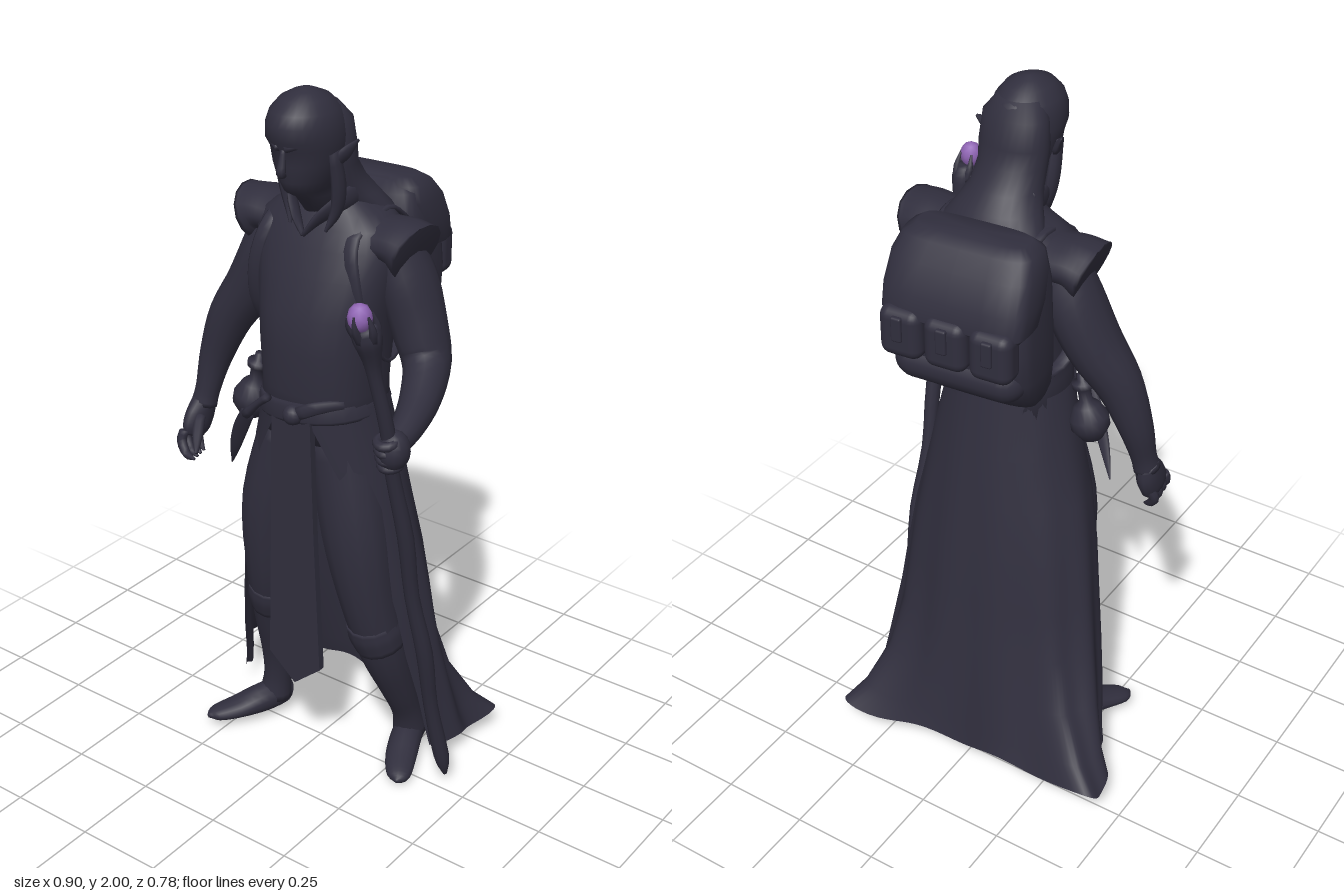
import * as THREE from 'three';
import { RoundedBoxGeometry } from 'three/addons/geometries/RoundedBoxGeometry.js';

const V = (x, y, z) => new THREE.Vector3(x, y, z);

// Surface through a list of point rings
function skin(rings, closed = true) {
  const n = rings[0].length, pos = [], idx = [];
  rings.forEach(r => r.forEach(p => pos.push(p.x, p.y, p.z)));
  for (let i = 0; i < rings.length - 1; i++) {
    for (let j = 0; j < (closed ? n : n - 1); j++) {
      const k = (j + 1) % n, a = i * n + j, b = i * n + k;
      idx.push(a, b, b + n, a, b + n, a + n);
    }
  }
  if (closed) [0, rings.length - 1].forEach((r, end) => {
    const c = rings[r].reduce((s, p) => s.add(p), V(0, 0, 0)).divideScalar(n);
    const m = pos.length / 3;
    pos.push(c.x, c.y, c.z);
    for (let j = 0; j < n; j++) {
      const a = r * n + j, b = r * n + (j + 1) % n;
      if (end) idx.push(m, a, b); else idx.push(m, b, a);
    }
  });
  const g = new THREE.BufferGeometry();
  g.setAttribute('position', new THREE.Float32BufferAttribute(pos, 3));
  g.setIndex(idx);
  g.computeVertexNormals();
  return g;
}

// Upward loft; rows are [y, x0, x1, z0, z1], e < 1 makes it boxier
function loft(rows, e = 1, n = 28) {
  const pw = v => Math.sign(v) * Math.abs(v) ** e;
  return skin(rows.map(([y, x0, x1, z0, z1]) => Array.from({ length: n }, (_, j) => {
    const a = j / n * Math.PI * 2;
    return V((x0 + x1) / 2 + (x1 - x0) / 2 * pw(Math.sin(a)), y, (z0 + z1) / 2 + (z1 - z0) / 2 * pw(Math.cos(a)));
  })));
}

// Tapered tube; points are [x, y, z, radius, second radius]
function limb(pts, ref = V(1, 0, 0), steps = 4, n = 14) {
  const path = new THREE.CatmullRomCurve3(pts.map(p => V(p[0], p[1], p[2])), false, 'catmullrom');
  const rad = new THREE.CatmullRomCurve3(pts.map(p => V(p[3], p[4] ?? p[3], 0)), false, 'catmullrom');
  const m = (pts.length - 1) * steps, rings = [];
  for (let i = 0; i <= m; i++) {
    const c = path.getPoint(i / m), t = path.getTangent(i / m), r = rad.getPoint(i / m);
    const u = ref.clone().addScaledVector(t, -ref.dot(t)).normalize(), v = t.clone().cross(u);
    rings.push(Array.from({ length: n }, (_, j) => {
      const a = j / n * Math.PI * 2;
      return c.clone().addScaledVector(u, r.x * Math.cos(a)).addScaledVector(v, r.y * Math.sin(a));
    }));
  }
  return skin(rings);
}

export function createModel() {
  const group = new THREE.Group();
  const cloth = new THREE.MeshStandardMaterial({ color: 0x302e3d, side: THREE.DoubleSide });
  cloth.name = 'dark cloth';
  const violet = new THREE.MeshStandardMaterial({ color: 0x9065b5 });
  violet.name = 'violet crystal';
  const add = (name, geo, mat = cloth, parent = group) => {
    const m = new THREE.Mesh(geo, mat);
    m.name = name;
    parent.add(m);
    return m;
  };
  const X = V(1, 0, 0), Y = V(0, 1, 0), Z = V(0, 0, 1);

  // Head, hair and face
  add('head', loft([[1.68, 0, .07, -.02, .1], [1.725, -.01, .08, -.02, .135], [1.745, -.025, .085, -.02, .168], [1.775, -.04, .1, -.02, .182], [1.82, -.055, .115, -.02, .19],
    [1.86, -.062, .122, -.02, .195], [1.885, -.065, .125, -.02, .213], [1.92, -.062, .122, -.015, .214], [1.95, -.052, .112, .005, .202],
    [1.978, -.028, .09, .035, .175], [1.993, 0, .062, .07, .14], [2, .02, .04, .09, .115]]));
  add('hair', loft([[1.54, -.1, .15, -.15, -.06], [1.62, -.13, .185, -.162, -.02], [1.67, -.115, .17, -.148, .015], [1.71, -.086, .144, -.12, .05], [1.75, -.066, .126, -.086, .085],
    [1.8, -.063, .124, -.046, .1], [1.85, -.067, .127, -.033, .1], [1.92, -.06, .12, -.02, .1], [1.96, -.03, .09, .015, .1]]));
  add('nose', limb([[.03, 1.865, .192, .006], [.03, 1.83, .198, .01], [.03, 1.805, .202, .012], [.03, 1.795, .188, .006]], X, 3, 8));
  for (const s of [-1, 1]) {
    add('brow', limb([[.03 + s * .01, 1.868, .198, .01], [.03 + s * .045, 1.882, .178, .012], [.03 + s * .075, 1.885, .135, .008]], Y, 3, 8));
    add('ear', limb([[.03 + s * .085, 1.82, .09, .01, .016], [.03 + s * .102, 1.845, .075, .01, .022], [.03 + s * .124, 1.877, .05, .002, .004]], X, 4, 8));
    add('hairLock', limb([[.03 + s * .085, 1.85, .1, .012, .02], [.03 + s * .085, 1.76, .08, .016, .024], [.03 + s * .075, 1.69, .075, .014, .02], [.03 + s * .055, 1.635, .095, .004]], X, 3, 8));
    add('collar', limb([[.03 + s * .09, 1.725, -.03, .01, .03], [.03 + s * .08, 1.71, .05, .01, .03], [.03 + s * .04, 1.67, .095, .01, .024], [.03, 1.62, .116, .006]], X, 4, 8));
  }

  // Tunic with flared armhole caps
  add('tunic', loft([[1.06, -.15, .205, -.13, .165], [1.2, -.125, .205, -.12, .18], [1.32, -.13, .215, -.125, .186], [1.42, -.14, .22, -.13, .178],
    [1.52, -.165, .235, -.14, .145], [1.59, -.185, .235, -.14, .115], [1.64, -.17, .22, -.135, .092], [1.672, -.12, .175, -.13, .072],
    [1.7, -.07, .13, -.12, .06], [1.73, -.045, .105, -.09, .05]], .85));
  for (const [name, s] of [['shoulderLeft', 1], ['shoulderRight', -1]]) {
    const x = d => .022 + s * d;
    add(name, limb([[x(.08), 1.605, -.03, .085, .06], [x(.17), 1.605, -.03, .09, .058], [x(.22), 1.605, -.028, .09, .063], [x(.258), 1.59, -.025, .09, .08]], Z));
  }

  // Sash with knot
  const sash = add('sash', loft([[-.028, -.173, .176, -.147, .167], [-.018, -.176, .179, -.15, .174], [.018, -.167, .172, -.145, .173], [.028, -.16, .165, -.14, .168]], .9));
  sash.position.set(.033, 1.15, .018);
  sash.rotation.z = .1;
  add('sashKnot', new THREE.SphereGeometry(.028, 14, 10)).position.set(.05, 1.15, .188);
  add('sashTail', limb([[.07, 1.16, .192, .018, .008], [.12, 1.185, .18, .018, .008], [.17, 1.19, .128, .014, .008]], Y, 3, 8));

  // Open robe skirt: [y, x0, x1, z0, z1, front gap angle, hem flare]
  const rows = [[.06, -.36, .365, -.3, .02, 1.12, 1], [.12, -.35, .36, -.29, .03, 1.11, .6], [.25, -.335, .35, -.275, .06, 1.1, .15],
    [.4, -.305, .335, -.25, .1, 1.08, 0], [.55, -.28, .32, -.23, .125, 1.06, 0], [.7, -.255, .302, -.21, .15, 1, 0],
    [.85, -.222, .275, -.185, .17, .88, 0], [1, -.175, .248, -.16, .185, .62, 0], [1.17, -.135, .21, -.13, .185, .2, 0]];
  add('robeSkirt', skin(rows.map(([y, x0, x1, z0, z1, gap, f], i) => Array.from({ length: 97 }, (_, j) => {
    const a = gap + j / 96 * (Math.PI * 2 - gap * 2);
    const fold = 1 + .035 * (1 - i / 8) * Math.cos(a * 11);
    const L = f * Math.exp(-(((a - Math.PI - 1.0) / .45) ** 2)), R = f * Math.exp(-(((a - Math.PI + .8) / .4) ** 2));
    return V((x0 + x1) / 2 + (x1 - x0) / 2 * Math.sin(a) * fold - .145 * L + .105 * R,
      y + f * .01 * Math.cos(a * 11) + .02 * L, (z0 + z1) / 2 + (z1 - z0) / 2 * Math.cos(a) * fold - .07 * L - .1 * R);
  })), false));

  // Front tabard
  const shape = new THREE.Shape([[-.025, 1.16], [-.032, .8], [-.042, .38], [.045, .305], [.132, .38], [.112, .8], [.1, 1.16]].map(p => new THREE.Vector2(...p)));
  add('tabard', new THREE.ExtrudeGeometry(shape, { depth: .02, bevelEnabled: false })).position.z = .163;

  // Legs, boots and feet
  add('legLeft', limb([[.11, 1.08, .05, .1], [.165, .8, .068, .098, .09], [.2, .58, .05, .08], [.225, .4, .01, .068], [.235, .25, -.05, .052], [.235, .14, -.1, .043], [.23, .05, -.13, .05]]));
  add('legRight', limb([[-.03, 1.08, .05, .1], [-.105, .8, .07, .095, .09], [-.125, .58, .055, .08], [-.148, .4, .025, .062], [-.165, .25, -.01, .05], [-.175, .14, -.02, .042], [-.185, .06, -.02, .048]]));
  add('bootCuffLeft', limb([[.208, .51, .04, .076], [.213, .47, .028, .08], [.222, .42, .015, .072]]));
  add('bootCuffRight', limb([[-.134, .51, .045, .074], [-.14, .47, .037, .076], [-.146, .42, .028, .067]]));
  add('footLeft', limb([[.205, .04, -.2, .02], [.215, .045, -.18, .042, .04], [.24, .045, -.1, .045], [.28, .032, -.01, .03, .045], [.315, .022, .05, .02, .033], [.325, .02, .075, .006]], Y));
  add('footRight', limb([[-.175, .055, -.07, .02], [-.18, .06, -.05, .04], [-.2, .06, .02, .044], [-.24, .048, .09, .028, .045], [-.28, .038, .145, .018, .033], [-.292, .036, .17, .006]], Y));

  // Arms and hands
  add('armLeft', limb([[.205, 1.61, -.03, .06], [.238, 1.5, -.05, .074, .085], [.273, 1.385, -.055, .074, .08], [.31, 1.29, -.04, .064, .07], [.36, 1.24, .06, .054], [.395, 1.21, .17, .042], [.405, 1.195, .24, .034]]));
  add('armRight', limb([[-.155, 1.61, -.03, .06], [-.19, 1.5, -.035, .074, .085], [-.246, 1.38, -.025, .072, .08], [-.312, 1.27, -.005, .063], [-.355, 1.15, .01, .048], [-.372, 1.05, .03, .036], [-.38, 1, .04, .037]]));
  const fist = add('handLeft', new THREE.SphereGeometry(.045, 14, 10));
  fist.position.set(.412, 1.185, .25);
  fist.scale.set(.9, 1.2, 1);
  for (let i = 0; i < 4; i++) {
    const f = add('fingerLeft', new THREE.TorusGeometry(.024, .013, 8, 16));
    f.position.set(.402, 1.145 + i * .023, .25 + i * .006);
    f.rotation.x = Math.PI / 2 + .2;
  }
  add('handRight', limb([[-.38, 1.02, .035, .033], [-.386, .975, .05, .032, .05], [-.388, .935, .07, .028, .05], [-.385, .912, .08, .014, .036]]));
  for (let i = 0; i < 4; i++) {
    const z = .032 + i * .028;
    add('fingerRight', limb([[-.392, .94, z, .014], [-.406 + i * .004, .91, z + .01, .014], [-.392 + i * .008, .88, z + .02, .012], [-.368 + i * .012, .862 + i * .006, z + .03, .004]], X, 3, 8));
  }
  add('thumbRight', limb([[-.368, .975, .075, .016], [-.345, .935, .115, .015], [-.325, .9, .145, .005]], X, 3, 8));

  // Staff with claws and crystal
  add('staff', limb([[.42, .03, -.03, .006], [.415, .1, -.015, .022], [.405, .3, .035, .02], [.412, .5, .085, .023], [.4, .7, .135, .02], [.406, .9, .18, .022],
    [.398, 1.1, .232, .019], [.402, 1.25, .268, .019], [.392, 1.4, .308, .018], [.39, 1.46, .322, .026], [.388, 1.51, .336, .037], [.386, 1.545, .348, .03]], X, 3, 10));
  for (let i = 0; i < 5; i++) {
    const a = i * Math.PI * .4 + .3, c = Math.cos(a), s = Math.sin(a);
    add('staffClaw', limb([[.387 + c * .025, 1.51, .337 + s * .025, .012], [.386 + c * .036, 1.545, .35 + s * .033, .01], [.385 + c * .03, 1.582, .36 + s * .028, .003]], X, 3, 6));
  }
  const gem = add('crystal', new THREE.IcosahedronGeometry(.031, 1), violet);
  gem.position.set(.383, 1.571, .36);
  gem.scale.y = 1.2;

  // Flask and dagger on the belt
  const flask = add('flask', new THREE.LatheGeometry([[0, -.06], [.03, -.055], [.054, -.02], [.054, .01], [.035, .045], [.018, .06], [.018, .09], [.03, .1], [.03, .115], [.014, .12], [.012, .14], [0, .14]]
    .map(p => new THREE.Vector2(...p)), 18));
  flask.position.set(-.195, 1.08, .05);
  flask.rotation.z = -.2;
  add('daggerHilt', limb([[-.03, 1.18, .19, .012], [-.07, 1.145, .188, .01], [-.115, 1.1, .178, .015]], X, 3, 8));
  add('daggerBlade', limb([[-.11, 1.105, .178, .02, .007], [-.16, 1.03, .15, .022, .007], [-.205, .95, .12, .016, .005], [-.245, .875, .085, .002]], X, 4, 8));

  // Backpack
  const pack = new THREE.Group();
  pack.name = 'backpack';
  pack.rotation.y = .09;
  pack.position.x = .018;
  group.add(pack);
  add('packBody', loft([[1.238, -.14, .14, -.2, -.13], [1.255, -.175, .175, -.235, -.115], [1.3, -.192, .192, -.285, -.1], [1.36, -.2, .2, -.315, -.1], [1.45, -.2, .2, -.325, -.1],
    [1.6, -.192, .192, -.31, -.1], [1.68, -.175, .175, -.27, -.11], [1.708, -.14, .14, -.24, -.14]], .5), cloth, pack);
  add('packFlap', loft([[1.51, -.19, .19, -.345, -.25], [1.52, -.2, .2, -.355, -.2], [1.58, -.203, .203, -.342, -.16], [1.65, -.197, .197, -.31, -.13],
    [1.695, -.18, .18, -.27, -.13], [1.715, -.15, .15, -.24, -.15]], .5), cloth, pack);
  for (const x of [-.125, 0, .125]) {
    add('packPocket', new RoundedBoxGeometry(.118, .14, .08, 3, .03), cloth, pack).position.set(x, 1.47, -.33);
    add('packBuckle', new RoundedBoxGeometry(.03, .07, .016, 2, .006), cloth, pack).position.set(x, 1.49, -.37);
  }
  const roll = add('packRoll', new THREE.CapsuleGeometry(.058, .25, 6, 18), cloth, pack);
  roll.rotation.z = Math.PI / 2;
  roll.position.set(0, 1.36, -.272);
  for (const [x, s] of [[-.105, -1], [.155, 1]]) {
    add('packStrap', limb([[x, 1.62, -.15, .022, .008], [x, 1.672, -.06, .022, .008], [x, 1.625, .075, .022, .008], [x + s * .03, 1.5, .105, .022, .008],
      [x + s * .045, 1.36, .07, .022, .008], [x + s * .035, 1.27, -.02, .02, .008], [x, 1.27, -.14, .02, .008]], X, 4, 8));
  }
  return group;
}
